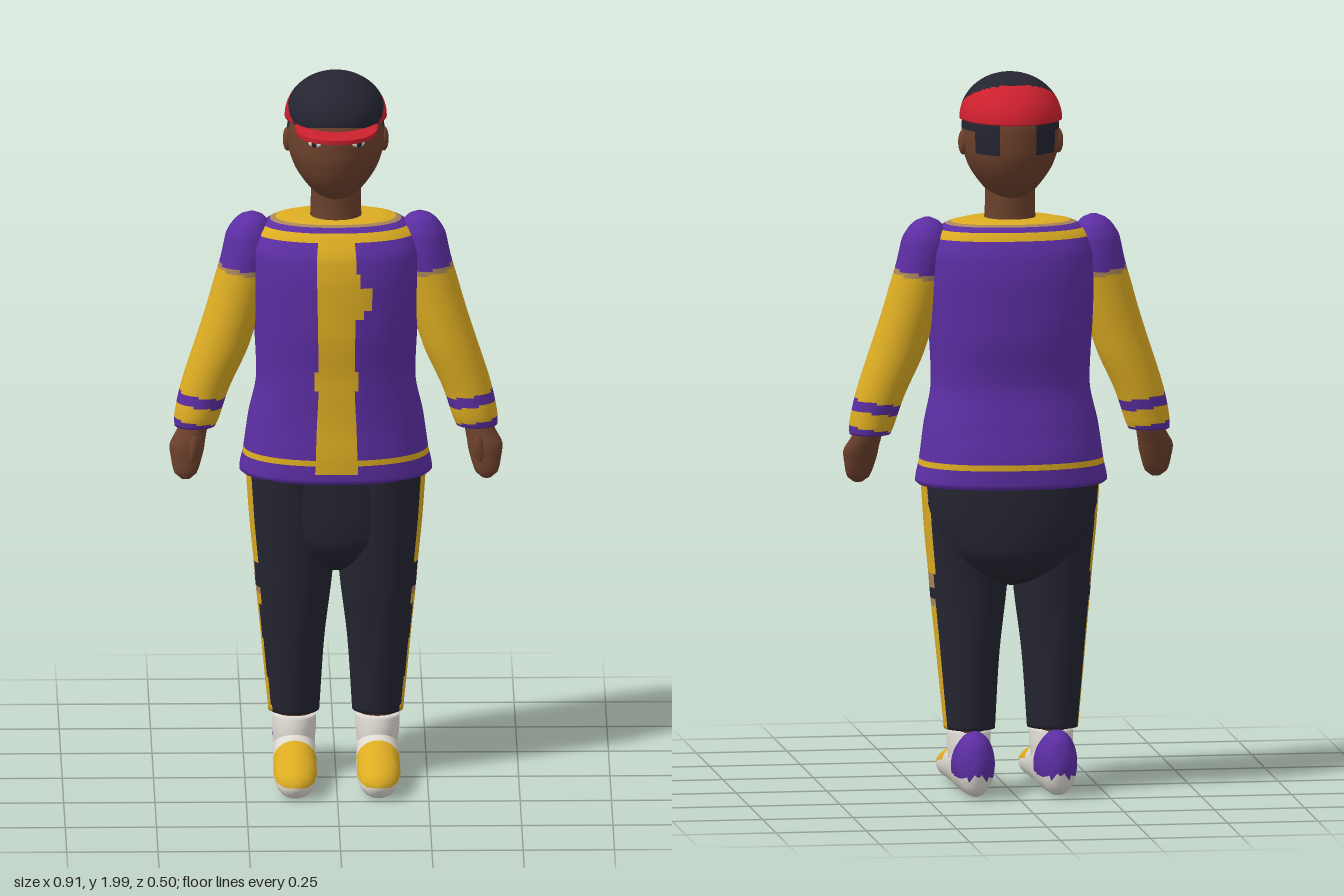
import * as THREE from 'three';

const paint = (name, color) => {
  const m = new THREE.MeshStandardMaterial({ color });
  m.name = name;
  return m;
};
const purple = paint('purple', 0x5c2ea3);
const yellow = paint('yellow', 0xdcac22);
const dark = paint('dark navy', 0x242531);
const skin = paint('skin brown', 0x6b402b);
const red = paint('red', 0xcc202e);
const white = paint('off white', 0xdedad2);
const tan = paint('tan', 0xa9865a);

// Monotone cubic through rows of [t, ...values], subdivided by step
function refine(rows, step) {
  const n = rows.length;
  const sec = (i, k) => (rows[i + 1][k] - rows[i][k]) / (rows[i + 1][0] - rows[i][0]);
  const slope = (i, k) => {
    if (i === 0) return sec(0, k);
    if (i === n - 1) return sec(n - 2, k);
    const a = sec(i - 1, k), b = sec(i, k);
    return a * b <= 0 ? 0 : (2 * a * b) / (a + b);
  };
  const out = [];
  for (let i = 0; i < n - 1; i++) {
    const h = rows[i + 1][0] - rows[i][0];
    const parts = Math.max(1, Math.round(h / step));
    for (let j = 0; j < parts; j++) {
      const u = j / parts, u2 = u * u, u3 = u2 * u;
      out.push(rows[i].map((v, k) => k === 0 ? v + h * u
        : v * (2 * u3 - 3 * u2 + 1) + rows[i + 1][k] * (3 * u2 - 2 * u3)
          + h * (slope(i, k) * (u3 - 2 * u2 + u) + slope(i + 1, k) * (u3 - u2))));
    }
  }
  out.push(rows[n - 1]);
  return out;
}

// Skin over oval sections; each face takes the material pick(x, y, z) returns.
// Upright rows: [y, cx, cz, rx, rz]. Rows along z: [z, cy, cx, ry, rx].
function loft(name, rows, pick, { step = 0.01, seg = 64, power = 2, alongZ = false } = {}) {
  const rings = refine(rows, step);
  const pos = [], faces = new Map();
  const bend = (v) => Math.sign(v) * Math.abs(v) ** (2 / power);
  for (const [t, ca, cb, ra, rb] of rings) {
    for (let j = 0; j < seg; j++) {
      const th = (j / seg) * Math.PI * 2;
      const a = ca + ra * bend(Math.cos(th)), b = cb + rb * bend(Math.sin(th));
      pos.push(...(alongZ ? [b, a, t] : [a, t, b]));
    }
  }
  // close both ends with a centre point
  const ends = [rings[0], rings[rings.length - 1]].map(([t, a, b]) => {
    pos.push(...(alongZ ? [b, a, t] : [a, t, b]));
    return pos.length / 3 - 1;
  });
  const add = (corners) => {
    const c = [0, 1, 2].map((k) => corners.reduce((s, p) => s + pos[p * 3 + k], 0) / corners.length);
    const m = pick.isMaterial ? pick : pick(...c);
    if (!faces.has(m)) faces.set(m, []);
    for (let k = 1; k < corners.length - 1; k++) faces.get(m).push(corners[0], corners[k], corners[k + 1]);
  };
  const last = (rings.length - 1) * seg;
  for (let j = 0; j < seg; j++) {
    const q = (j + 1) % seg;
    for (let r = 0; r < last; r += seg) add([r + j, r + seg + j, r + seg + q, r + q]);
    add([ends[0], j, q]);
    add([ends[1], last + q, last + j]);
  }
  const geo = new THREE.BufferGeometry();
  geo.setAttribute('position', new THREE.Float32BufferAttribute(pos, 3));
  const index = [], mats = [];
  for (const [m, list] of faces) {
    geo.addGroup(index.length, list.length, mats.length);
    mats.push(m);
    for (const v of list) index.push(v);
  }
  geo.setIndex(index);
  geo.computeVertexNormals();
  const mesh = new THREE.Mesh(geo, mats.length > 1 ? mats : mats[0]);
  mesh.name = name;
  return mesh;
}

function blob(name, mat, p, s) {
  const m = new THREE.Mesh(new THREE.SphereGeometry(1, 24, 16), mat);
  m.name = name;
  m.position.set(...p);
  m.scale.set(...s);
  return m;
}

export function createModel() {
  const model = new THREE.Group();
  model.name = 'figure';

  // Jacket with front band, chest patch, hem line and striped collar
  model.add(loft('jacket', [
    [0.868, 0, -0.072, 0.255, 0.165], [0.875, 0, -0.072, 0.264, 0.172], [0.93, 0, -0.072, 0.254, 0.172],
    [1.03, 0, -0.066, 0.24, 0.16], [1.15, 0, -0.055, 0.218, 0.15], [1.3, 0, -0.057, 0.225, 0.163],
    [1.42, 0, -0.057, 0.235, 0.162], [1.5, 0, -0.057, 0.238, 0.153], [1.55, 0, -0.06, 0.222, 0.132],
    [1.58, 0, -0.063, 0.19, 0.112], [1.592, 0, -0.063, 0.165, 0.1], [1.6, 0, -0.06, 0.12, 0.085],
  ], (x, y, z) => {
    if (y > 1.588) return Math.abs(x) > 0.15 || y < 1.592 ? tan : yellow;
    if (y > 1.571) return purple;
    if (y > 1.552) return yellow;
    if (z > 0 && y > 0.895 && Math.abs(x) < 0.055) return yellow;
    if (z > 0 && x > 0 && y > 1.36 && y < 1.43 && x < 0.098) return yellow;
    if (z > 0 && x > 0 && y > 1.34 && y < 1.47 && x < 0.07) return yellow;
    return y > 0.921 && y < 0.939 ? yellow : purple;
  }, { seg: 128, power: 2.2, step: 0.008 }));

  // Trousers: seat and legs with a broken side stripe
  const stripe = (x, y, z) => {
    const ax = Math.abs(x);
    if (y > 0.62) return ax > 0.14 && z < 0 && z > -0.105 ? yellow : dark;
    if (y > 0.58) return ax > 0.14 && z < -0.03 && z > -0.09 ? tan : dark;
    if (y > 0.55) return dark;
    return ax > 0.13 && z < (y > 0.5 ? -0.01 : -0.03) && z > -0.095 ? (y > 0.53 ? tan : yellow) : dark;
  };
  model.add(loft('seat', [
    [0.585, 0, -0.075, 0.01, 0.02], [0.6, 0, -0.075, 0.07, 0.07], [0.64, 0, -0.075, 0.15, 0.118],
    [0.7, 0, -0.075, 0.205, 0.143], [0.78, 0, -0.075, 0.232, 0.148], [0.9, 0, -0.072, 0.245, 0.148],
  ], stripe));

  for (const s of [1, -1]) {
    const side = s > 0 ? 'left' : 'right';
    model.add(loft(side + 'Leg', [
      [0.19, s * 0.115, -0.07, 0.07, 0.074], [0.4, s * 0.118, -0.06, 0.087, 0.09],
      [0.6, s * 0.116, -0.052, 0.108, 0.103], [0.75, s * 0.121, -0.053, 0.117, 0.115],
      [0.88, s * 0.125, -0.055, 0.122, 0.125],
    ], stripe));

    // Shoe with heel patch and toe cap
    model.add(loft(side + 'Shoe', [
      [-0.235, 0.095, s * 0.114, 0.02, 0.012], [-0.225, 0.098, s * 0.114, 0.06, 0.032],
      [-0.2, 0.1, s * 0.114, 0.083, 0.048], [-0.16, 0.103, s * 0.114, 0.09, 0.056],
      [-0.12, 0.095, s * 0.114, 0.083, 0.058], [-0.07, 0.086, s * 0.114, 0.073, 0.058],
      [0, 0.08, s * 0.114, 0.064, 0.058], [0.05, 0.073, s * 0.114, 0.057, 0.06],
      [0.14, 0.062, s * 0.114, 0.047, 0.06], [0.21, 0.053, s * 0.114, 0.04, 0.052],
      [0.24, 0.05, s * 0.114, 0.03, 0.036], [0.252, 0.05, s * 0.114, 0.012, 0.014],
    ], (x, y, z) => {
      if (z < -0.11) return y > 0.07 ? purple : white;
      return z > 0.052 && y > 0.05 + (0.25 - z) * 0.17 ? yellow : white;
    }, { alongZ: true }));
    model.add(loft(side + 'ShoeCollar', [
      [0.1, s * 0.114, -0.05, 0.055, 0.075], [0.15, s * 0.114, -0.05, 0.06, 0.07],
      [0.185, s * 0.114, -0.05, 0.06, 0.06],
    ], white, { seg: 32 }));
    model.add(loft(side + 'Ankle', [
      [0.15, s * 0.114, -0.055, 0.052, 0.055], [0.23, s * 0.114, -0.06, 0.052, 0.055],
    ], skin, { seg: 32, step: 0.04 }));

    // Sleeve with shoulder panel and cuff stripes
    model.add(loft(side + 'Sleeve', [
      [1.005, s * 0.386, -0.04, 0.056, 0.056], [1.03, s * 0.381, -0.04, 0.062, 0.062],
      [1.1, s * 0.363, -0.045, 0.067, 0.067], [1.24, s * 0.311, -0.048, 0.076, 0.073],
      [1.4, s * 0.263, -0.056, 0.075, 0.073], [1.48, s * 0.245, -0.06, 0.07, 0.073],
      [1.54, s * 0.236, -0.063, 0.066, 0.068], [1.575, s * 0.233, -0.063, 0.05, 0.053],
      [1.595, s * 0.231, -0.062, 0.031, 0.033], [1.604, s * 0.23, -0.062, 0.01, 0.01],
    ], (x, y) => {
      const h = y + (Math.abs(x) - 0.3) * -0.15;
      if (h > 1.46) return purple;
      if (h > 1.447) return tan;
      return (h > 1.055 && h < 1.085) || h < 1.008 ? purple : yellow;
    }, { step: 0.007 }));

    // Hand and thumb
    model.add(loft(side + 'Hand', [
      [0.866, s * 0.412, 0.008, 0.012, 0.01], [0.88, s * 0.412, 0.003, 0.03, 0.022],
      [0.92, s * 0.41, -0.008, 0.042, 0.032], [0.955, s * 0.408, -0.016, 0.048, 0.037],
      [0.99, s * 0.396, -0.028, 0.042, 0.038], [1.02, s * 0.386, -0.036, 0.038, 0.038],
    ], skin, { seg: 32 }));
    const thumb = blob(side + 'Thumb', skin, [s * 0.392, 0.945, 0.012], [0.015, 0.042, 0.016]);
    thumb.rotation.z = s * 0.15;
    model.add(thumb);

    // Ear, eye and brow
    model.add(blob(side + 'Ear', skin, [s * 0.132, 1.81, -0.065], [0.013, 0.034, 0.023]));
    const face = new THREE.Group();
    face.name = side + 'Eye';
    face.position.set(s * 0.06, 1.838, 0.092);
    face.rotation.y = s * 0.45;
    const brow = new THREE.Mesh(new THREE.BoxGeometry(0.05, 0.008, 0.008), dark);
    brow.name = 'brow';
    brow.position.set(0, 0.017, 0);
    face.add(blob('eyeWhite', white, [0, 0, 0], [0.019, 0.009, 0.005]),
      blob('pupil', dark, [0, 0, 0.002], [0.009, 0.009, 0.005]), brow);
    model.add(face);
  }

  // Neck and head, with short hair at the sides
  model.add(loft('neck', [
    [1.57, 0, -0.05, 0.075, 0.07], [1.62, 0, -0.05, 0.069, 0.066], [1.72, 0, -0.05, 0.068, 0.066],
  ], skin, { seg: 40 }));
  model.add(loft('head', [
    [1.649, 0, -0.05, 0.014, 0.03], [1.656, 0, -0.05, 0.036, 0.058], [1.672, 0, -0.05, 0.06, 0.09],
    [1.7, 0, -0.05, 0.086, 0.122], [1.75, 0, -0.054, 0.117, 0.152], [1.8, 0, -0.056, 0.131, 0.164],
    [1.85, 0, -0.057, 0.133, 0.165], [1.9, 0, -0.06, 0.124, 0.15], [1.96, 0, -0.06, 0.07, 0.09],
  ], (x, y, z) => {
    if (Math.abs(x) < 0.05) return skin;
    return (y > 1.85 && z < -0.02) || (y > 1.79 && z < -0.15) ? dark : skin;
  }, { seg: 96 }));

  // Cap: dark dome with red rear panel
  const dome = Array.from({ length: 14 }, (_, i) => {
    const a = (i / 13) * 1.53, c = Math.cos(a);
    return [1.876 + 0.124 * Math.sin(a), 0, -0.068 + 0.012 * Math.sin(a), 0.14 * c, 0.165 * c];
  });
  model.add(loft('cap', dome, (x, y, z) =>
    z < 0.025 && y < 1.885 + (0.02 - z) * 0.54 ? red : dark, { seg: 128, step: 0.004 }));

  // Cap brim
  const outline = new THREE.Shape();
  outline.moveTo(0.105, 0);
  outline.bezierCurveTo(0.125, 0.06, 0.115, 0.175, 0, 0.175);
  outline.bezierCurveTo(-0.115, 0.175, -0.125, 0.06, -0.105, 0);
  const brimGeo = new THREE.ExtrudeGeometry(outline, { depth: 0.012, bevelEnabled: false, curveSegments: 24 });
  brimGeo.rotateX(Math.PI / 2);
  const brim = new THREE.Mesh(brimGeo, red);
  brim.name = 'brim';
  brim.position.y = 1.882;
  brim.rotation.x = 0.07;
  model.add(brim);

  return model;
}
